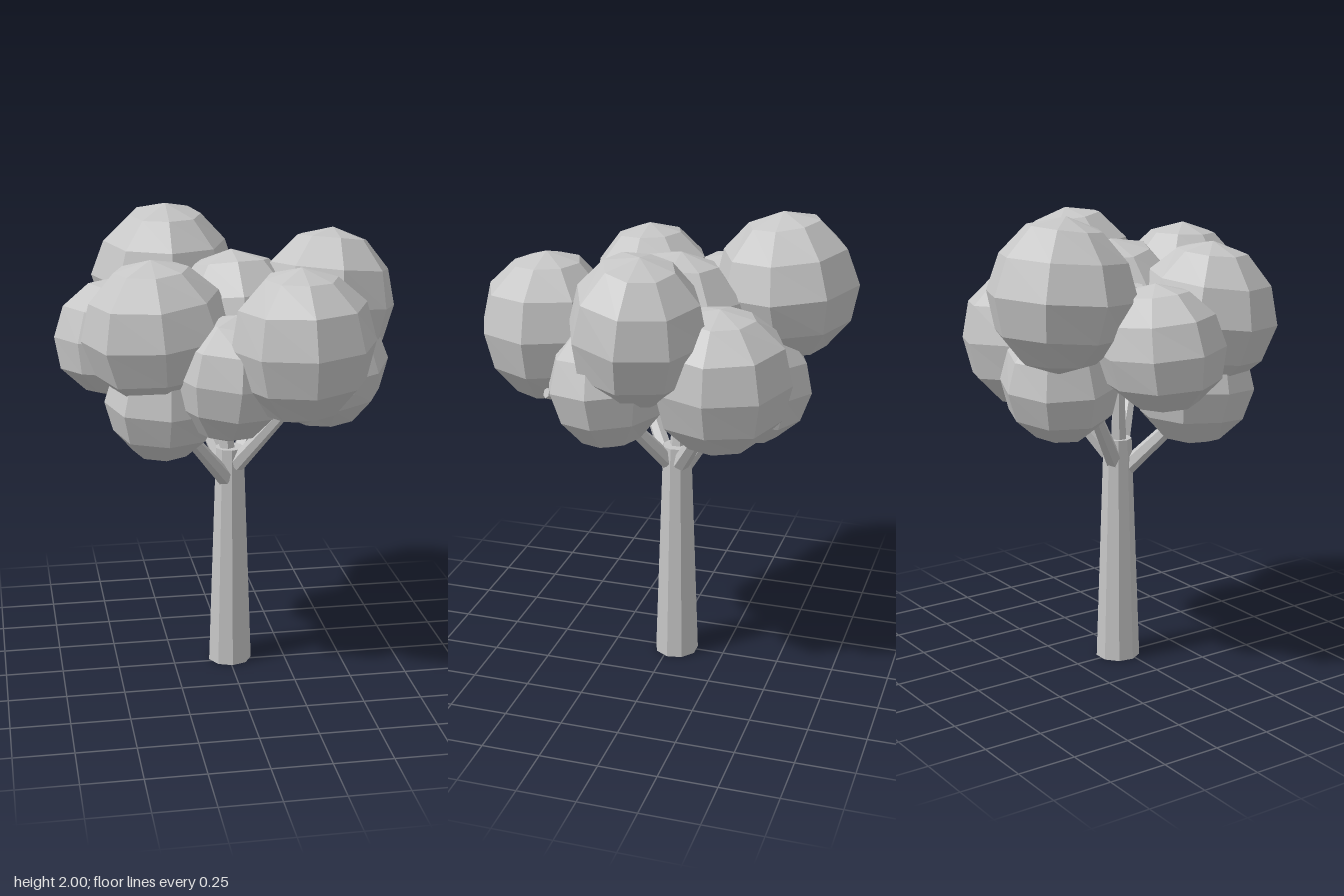
import * as THREE from 'three';

const grey = new THREE.MeshStandardMaterial({ color: 0xc6c6c6 });
grey.name = 'plain grey';

// Faceted mesh: every face gets its own flat normal
function faceted(geometry, name) {
  const flat = geometry.toNonIndexed();
  flat.computeVertexNormals();
  const mesh = new THREE.Mesh(flat, grey);
  mesh.name = name;
  return mesh;
}

// Lumpy low-poly ball of leaves; the seed varies tilt and bumps
function leafClump(name, [x, y, z], [rx, ry, rz], seed) {
  const geo = new THREE.SphereGeometry(1, 8, 6);
  geo.rotateX(0.09 * Math.sin(seed * 2.1));
  geo.rotateZ(0.09 * Math.cos(seed * 1.7));
  const p = geo.attributes.position;
  const v = new THREE.Vector3();
  for (let i = 0; i < p.count; i++) {
    v.fromBufferAttribute(p, i);
    const bump = Math.sin(v.x * 4.1 + seed) + Math.sin(v.y * 4.7 + seed * 2) + Math.sin(v.z * 4.3 + seed * 3);
    v.multiplyScalar(1 + 0.015 * bump);
    p.setXYZ(i, v.x * rx, v.y * ry, v.z * rz);
  }
  const mesh = faceted(geo, name);
  mesh.position.set(x, y, z);
  return mesh;
}

// Straight tapered limb between two points
function limb(name, from, to, r0, r1, sides) {
  const a = new THREE.Vector3(...from);
  const b = new THREE.Vector3(...to);
  const dir = b.clone().sub(a);
  const mesh = faceted(new THREE.CylinderGeometry(r1, r0, dir.length(), sides), name);
  mesh.position.copy(a).add(b).multiplyScalar(0.5);
  mesh.quaternion.setFromUnitVectors(new THREE.Vector3(0, 1, 0), dir.normalize());
  return mesh;
}

export function createModel() {
  const tree = new THREE.Group();
  tree.name = 'tree';

  // Trunk and forking branches
  tree.add(limb('trunk', [0.005, 0, -0.033], [0.005, 1.0, -0.033], 0.097, 0.062, 9));
  const branches = new THREE.Group();
  branches.name = 'branches';
  [
    ['branchFrontLeft', [0.03, 0.93, 0], [0.22, 1.24, 0.2]],
    ['branchFrontRight', [-0.02, 0.87, 0], [-0.24, 1.17, 0.2]],
    ['branchBackLeft', [0.04, 0.93, -0.06], [0.22, 1.23, -0.24]],
    ['branchBackRight', [-0.01, 0.9, -0.06], [-0.14, 1.2, -0.26]],
    ['branchCentre', [0.0, 0.92, -0.03], [-0.03, 1.3, -0.05]],
  ].forEach(([name, a, b]) => branches.add(limb(name, a, b, 0.038, 0.026, 6)));
  // Twigs whose tips poke out between clumps
  [
    ['twigTop', [-0.22, 1.5, -0.1], [-0.27, 1.71, -0.12]],
    ['twigFrontLeft', [0.22, 1.24, 0.2], [0.44, 1.35, 0.39]],
  ].forEach(([name, a, b]) => branches.add(limb(name, a, b, 0.03, 0.022, 6)));
  tree.add(branches);

  // Crown: name, centre, radii
  const crown = new THREE.Group();
  crown.name = 'crown';
  [
    ['clumpBackTop', [-0.22, 1.69, -0.45], [0.32, 0.31, 0.305]],
    ['clumpLeftTop', [0.415, 1.64, 0.01], [0.3, 0.31, 0.285]],
    ['clumpFrontTop', [0.22, 1.565, 0.46], [0.295, 0.315, 0.285]],
    ['clumpFrontRight', [-0.33, 1.57, 0.175], [0.31, 0.31, 0.28]],
    ['clumpRight', [-0.45, 1.48, -0.13], [0.28, 0.26, 0.255]],
    ['clumpBackLeft', [0.285, 1.43, -0.3], [0.3, 0.305, 0.295]],
    ['clumpLeftLow', [0.37, 1.4, 0.15], [0.28, 0.27, 0.25]],
    ['clumpCentre', [0.03, 1.52, -0.03], [0.32, 0.34, 0.31]],
    ['clumpFrontLow', [-0.04, 1.4, 0.3], [0.25, 0.26, 0.25]],
    ['clumpRightLow', [-0.3, 1.27, 0.14], [0.25, 0.255, 0.25]],
    ['clumpBackLow', [-0.05, 1.3, -0.36], [0.26, 0.26, 0.25]],
  ].forEach(([name, c, r], i) => crown.add(leafClump(name, c, r, i + 1)));
  tree.add(crown);

  return tree;
}
